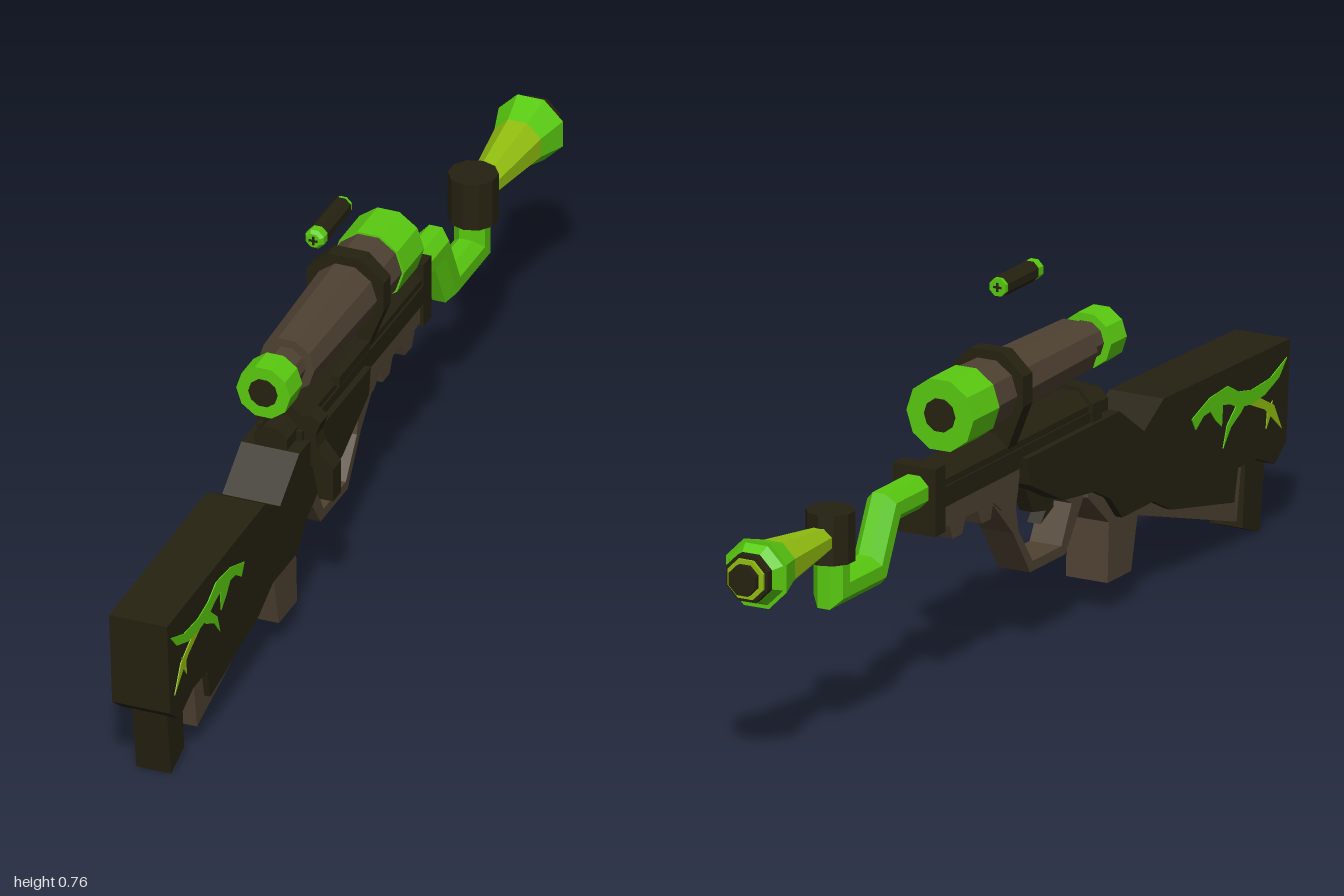
import * as THREE from 'three';

const CX = -0.015; // centre plane of the rifle

const mat = (name, color) => {
  const m = new THREE.MeshStandardMaterial({ color });
  m.name = name;
  return m;
};

// Faceted normals
function facet(g) {
  const f = g.index ? g.toNonIndexed() : g;
  f.computeVertexNormals();
  return f;
}

const toShape = pts => new THREE.Shape(pts.map(p => new THREE.Vector2(p[0], p[1])));

// Side profile of [z, y] points, extruded across x from x0 to x1
function sideSlab(pts, x0, x1) {
  const g = new THREE.ExtrudeGeometry(toShape(pts), { depth: x1 - x0, bevelEnabled: false });
  return g.rotateY(-Math.PI / 2).translate(x1, 0, 0);
}

// Front profile of [x, y] points, extruded along z from z0 to z1
function frontSlab(pts, z0, z1) {
  const g = new THREE.ExtrudeGeometry(toShape(pts), { depth: z1 - z0, bevelEnabled: false });
  return g.translate(0, 0, z0);
}

// Faceted turned part along z, from [radius, z] points with rising z
function turned(pts, y, sides = 10, x = CX) {
  const g = new THREE.LatheGeometry(pts.map(p => new THREE.Vector2(p[0], p[1])), sides);
  return facet(g.rotateY(Math.PI / sides).rotateX(Math.PI / 2).translate(x, y, 0));
}
const rod = (r, z0, z1, y, sides, x) => turned([[0, z0], [r, z0], [r, z1], [0, z1]], y, sides, x);

// Mitred pipe through [z, y] points
function pipe(path, r, sides = 8) {
  const pos = [], idx = [];
  const dir = (a, b) => new THREE.Vector2(b[0] - a[0], b[1] - a[1]).normalize();
  path.forEach((p, i) => {
    const d0 = dir(path[Math.max(i - 1, 0)], path[Math.max(i, 1)]);
    const last = path.length - 1;
    const d1 = dir(path[Math.min(i, last - 1)], path[Math.min(i + 1, last)]);
    const t = d0.clone().add(d1).normalize();
    const k = r / t.dot(d1);
    for (let j = 0; j < sides; j++) {
      const a = (j + 0.5) / sides * Math.PI * 2, c = Math.cos(a) * k;
      pos.push(CX + Math.sin(a) * r, p[1] - t.x * c, p[0] + t.y * c);
      if (i < last) {
        const A = i * sides + j, B = i * sides + (j + 1) % sides;
        idx.push(A, B, A + sides, B, B + sides, A + sides);
      }
    }
  });
  const g = new THREE.BufferGeometry();
  g.setAttribute('position', new THREE.Float32BufferAttribute(pos, 3));
  g.setIndex(idx);
  return facet(g);
}

export function createModel() {
  const dark = mat('dark olive', 0x262211);
  const brown = mat('brown', 0x4f4232);
  const green = mat('bright green', 0x5acb10);
  const lime = mat('yellow green', 0x93c010);

  const model = new THREE.Group();
  model.name = 'rifle';
  const add = (name, geometry, material, parent = model) => {
    const m = new THREE.Mesh(geometry, material);
    m.name = name;
    parent.add(m);
    return m;
  };

  // Stock and lower furniture
  add('stock', sideSlab([
    [1, .37], [.985, .17], [.94, .135], [.87, .165], [.80, .165], [.785, .10], [.545, .15],
    [.475, .185], [.355, .185], [.31, .235], [.25, .265], [.13, .28], [0, .345], [-.01, .40],
    [.345, .40], [.44, .335], [.515, .38],
  ], -.075, .045), dark);
  add('grip', sideSlab([
    [.84, .17], [.82, .05], [.44, .165], [.415, .06], [.325, .06], [.33, .18],
    [.25, .25], [.25, .28], [.45, .25], [.78, .20],
  ], -.06, .032), brown);
  add('buttFoot', sideSlab([[.95, .17], [.925, 0], [.86, .025], [.875, .19]], -.05, .022), dark);
  add('footKnob', rod(.02, .82, .88, .10, 8), green);
  add('triggerGuard', sideSlab([
    [.25, .25], [.18, .155], [.045, .155], [-.02, .25], [-.07, .30], [-.105, .335], [0, .385],
    [.0, .335], [-.01, .30], [.0, .25], [.055, .175], [.165, .175], [.205, .25], [.16, .275], [.24, .28],
  ], -.05, .02), brown);
  add('trigger', sideSlab([
    [.17, .29], [.17, .25], [.12, .228], [.14, .25], [.09, .26], [.06, .32],
  ], -.03, 0), dark);
  add('foreGrip', sideSlab([
    [0, .385], [-.01, .335], [-.07, .31], [-.105, .335], [-.115, .305], [-.15, .305], [-.165, .335],
    [-.21, .335], [-.225, .305], [-.26, .305], [-.275, .335], [-.30, .335], [-.32, .385],
  ], -.055, .025), brown);

  // Receiver and bolt
  add('receiver', rod(.047, -.32, .29, .415, 8), dark);
  add('receiverBed', sideSlab([[.30, .38], [-.32, .38], [-.32, .42], [.30, .42]], -.062, .032), dark);
  add('boltTail', rod(.037, .28, .345, .41, 8), dark);
  add('boltRing', rod(.056, .255, .29, .415, 8), dark);
  add('boltHandle', frontSlab([
    [0, .45], [.03, .45], [.045, .455], [.065, .44], [.055, .41], [.06, .385], [.092, .345],
    [.092, .275], [.062, .275], [.05, .34], [0, .39],
  ], .25, .29), dark);
  add('boltRail', sideSlab([[.13, .43], [-.02, .43], [-.02, .45], [.13, .45]], .02, .038), dark);
  add('muzzleCollar', sideSlab([[-.30, .33], [-.34, .33], [-.34, .465], [-.30, .465]], -.062, .032), dark);

  // Bent barrel and flared horn
  add('bentBarrel', pipe([[-.33, .415], [-.455, .415], [-.51, .305], [-.655, .305], [-.655, .40]], .035), green);
  const joint = new THREE.CylinderGeometry(.049, .049, .10, 10);
  add('barrelJoint', facet(joint.translate(CX, .415, -.66)), dark);
  const horn = new THREE.Group();
  horn.name = 'horn';
  model.add(horn);
  add('hornBody', turned([[.052, -.88], [.028, -.70]], .412, 8), lime, horn);
  add('hornLip', turned([[0, -.945], [.072, -.945], [.052, -.88]], .412, 8), green, horn);
  add('hornNeck', turned([[.05, -.965], [.064, -.945]], .412, 8), green, horn);
  add('plugRing', rod(.05, -.982, -.955, .412, 8), dark, horn);
  add('plugBand', rod(.042, -.988, -.97, .412, 8), lime, horn);
  add('plugTip', rod(.032, -1, -.98, .412, 8), dark, horn);

  // Scope
  const scope = new THREE.Group();
  scope.name = 'scope';
  model.add(scope);
  add('eyepiece', rod(.056, .32, .38, .54, 10), green, scope);
  add('eyepieceLens', rod(.03, .375, .383, .54, 10), dark, scope);
  add('scopeNeck', rod(.04, .26, .33, .54, 10), brown, scope);
  add('scopeTube', turned([[0, -.15], [.07, -.15], [.058, .265], [0, .265]], .54, 10), brown, scope);
  add('objective', rod(.074, -.24, -.14, .54, 10), green, scope);
  add('objectiveLens', rod(.034, -.243, -.235, .54, 10), dark, scope);
  const half = [[.035, .622], [.08, .58], [.08, .52], [.045, .43]];
  const outline = [...half.map(([x, y]) => [CX + x, y]), ...half.map(([x, y]) => [CX - x, y]).reverse()];
  add('scopeMount', frontSlab(outline, -.06, -.025), dark, scope);

  // Floating cartridge
  const cartridge = new THREE.Group();
  cartridge.name = 'cartridge';
  model.add(cartridge);
  add('cartridgeCase', rod(.021, -.015, .10, .738, 8, -.018), dark, cartridge);
  add('cartridgeTip', turned([[.021, .10], [.021, .118], [.015, .125], [0, .125]], .738, 8, -.018), green, cartridge);
  add('cartridgeBase', rod(.019, -.024, -.012, .738, 8, -.018), green, cartridge);
  for (const [w, h] of [[.018, .004], [.004, .018]]) {
    for (const z of [.125, -.024]) {
      add('cartridgeCross', new THREE.BoxGeometry(w, h, .004).translate(-.018, .738, z), dark, cartridge);
    }
  }

  // Claw-like decoration on both sides of the stock
  const streaks = [
    [green, [[.635, .285], [.62, .31], [.69, .335], [.76, .34], [.80, .318], [.85, .308], [.92, .312],
      [.985, .337], [.955, .305], [.90, .285], [.85, .28], [.80, .285], [.77, .30], [.73, .31], [.665, .305]]],
    [green, [[.84, .30], [.80, .30], [.755, .262], [.74, .22], [.77, .255], [.81, .275]]],
    [green, [[.74, .32], [.68, .32], [.71, .285], [.735, .265]]],
    [lime, [[.86, .295], [.82, .29], [.90, .255], [.965, .20], [.935, .255]]],
    [lime, [[.93, .265], [.91, .25], [.905, .215], [.92, .235]]],
  ];
  for (const [side, x0, x1] of [['left', .043, .047], ['right', -.077, -.073]]) {
    for (const [material, pts] of streaks) add(side + 'StockStreak', sideSlab(pts, x0, x1), material);
  }

  return model;
}
